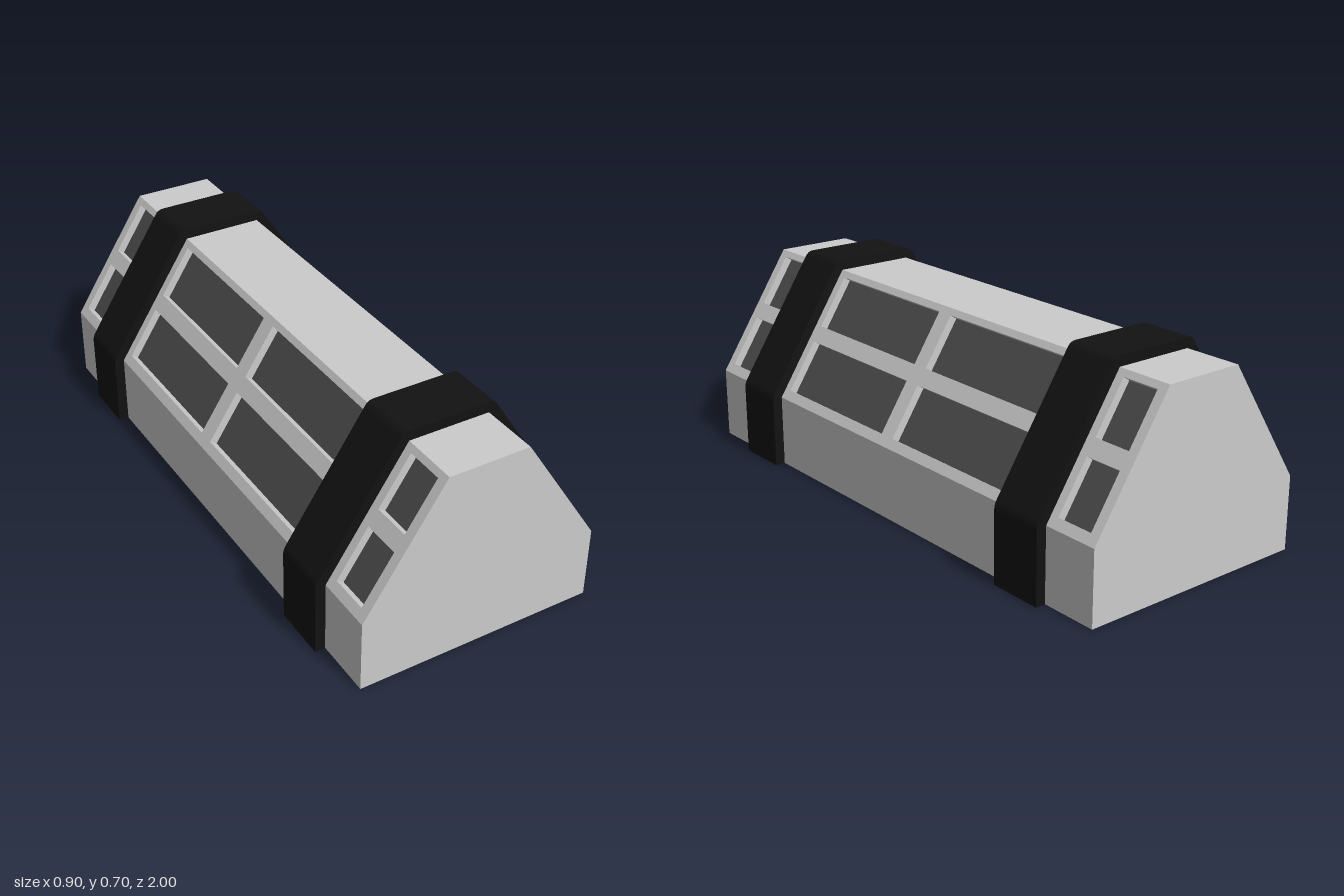
import * as THREE from 'three';

const W = 0.415, SILL = 0.25, TOP_W = 0.14, TOP = 0.67; // hull section
const DEPTH = 0.03;                                      // window recess
const SLOPE = Math.hypot(W - TOP_W, TOP - SILL);
const V = new THREE.Vector3(TOP_W - W, TOP - SILL, 0).normalize(); // up the slope
const N = new THREE.Vector3(V.y, -V.x, 0);                         // out of the slope
const ROWS = [[0.036, 0.227], [0.287, 0.478]];
const COLUMNS = [[-0.965, -0.83], [-0.58, -0.03], [0.03, 0.58], [0.83, 0.965]];

const hullMat = new THREE.MeshStandardMaterial({ color: 0xcccccc });
const glassMat = new THREE.MeshStandardMaterial({ color: 0x4c4c4c });
const bandMat = new THREE.MeshStandardMaterial({ color: 0x121212 });

function addMesh(parent, name, geometry, material) {
  const mesh = new THREE.Mesh(geometry, material);
  mesh.name = name;
  parent.add(mesh);
  return mesh;
}

// Closed shape from the right half of a profile, mirrored across x = 0
function mirroredShape(half) {
  const left = half.map(([x, y]) => [-x, y]).reverse();
  return new THREE.Shape([...half, ...left].map(([x, y]) => new THREE.Vector2(x, y)));
}

function extrude(shape, depth) {
  return new THREE.ExtrudeGeometry(shape, { depth, bevelEnabled: false });
}

function rectangle(path, [x0, x1], [y0, y1]) {
  path.moveTo(x0, y0).lineTo(x1, y0).lineTo(x1, y1).lineTo(x0, y1).closePath();
  return path;
}

// Points of a small rounded corner between two neighbours
function roundedCorner(prev, corner, next, radius) {
  const [a, c, b] = [prev, corner, next].map(p => new THREE.Vector2(...p));
  const start = c.clone().add(a.sub(c).setLength(radius));
  const end = c.clone().add(b.sub(c).setLength(radius));
  return new THREE.QuadraticBezierCurve(start, c, end).getPoints(5).map(p => [p.x, p.y]);
}

// Slanted window frame with panes lying at the bottom of its openings
function windowSide(name) {
  const side = new THREE.Group();
  side.name = name;
  const frame = rectangle(new THREE.Shape(), [-1, 1], [0, SLOPE]);
  for (const row of ROWS) {
    for (const col of COLUMNS) {
      frame.holes.push(rectangle(new THREE.Path(), col, row));
      const pane = addMesh(side, 'windowPane',
        new THREE.PlaneGeometry(col[1] - col[0], row[1] - row[0]), glassMat);
      pane.position.set((col[0] + col[1]) / 2, (row[0] + row[1]) / 2, 0.002);
    }
  }
  addMesh(side, 'windowFrame', extrude(frame, DEPTH), hullMat);
  side.applyMatrix4(new THREE.Matrix4()
    .makeBasis(new THREE.Vector3(0, 0, -1), V, N)
    .setPosition(W - N.x * DEPTH, SILL - N.y * DEPTH, 0));
  return side;
}

export function createModel() {
  const model = new THREE.Group();
  model.name = 'cabinModule';

  // Hull core, notched along both slopes to receive the window frames
  const core = mirroredShape([
    [W, 0], [W, SILL],
    [W - N.x * DEPTH, SILL - N.y * DEPTH],
    [TOP_W - N.x * DEPTH, TOP - N.y * DEPTH],
    [TOP_W, TOP],
  ]);
  addMesh(model, 'hull', extrude(core, 2).translate(0, 0, -1), hullMat);

  // Window sides, the second turned half way round
  model.add(windowSide('leftWindows'));
  const opposite = new THREE.Group();
  opposite.name = 'rightSide';
  opposite.rotation.y = Math.PI;
  opposite.add(windowSide('rightWindows'));
  model.add(opposite);

  // Two dark bands wrapped over the hull
  const foot = [0.45, 0], low = [0.45, 0.26], high = [0.159, 0.705];
  const outer = [foot, ...roundedCorner(foot, low, high, 0.018),
    ...roundedCorner(low, high, [0, 0.705], 0.02)];
  const inner = [[-W, 0], [-W, SILL], [-TOP_W, TOP], [TOP_W, TOP], [W, SILL], [W, 0]];
  const left = outer.map(([x, y]) => [-x, y]).reverse();
  const band = new THREE.Shape([...outer, ...left, ...inner].map(p => new THREE.Vector2(...p)));
  for (const z of [-0.705, 0.705]) {
    addMesh(model, z > 0 ? 'frontBand' : 'backBand',
      extrude(band, 0.19).translate(0, 0, z - 0.095), bandMat);
  }
  return model;
}
